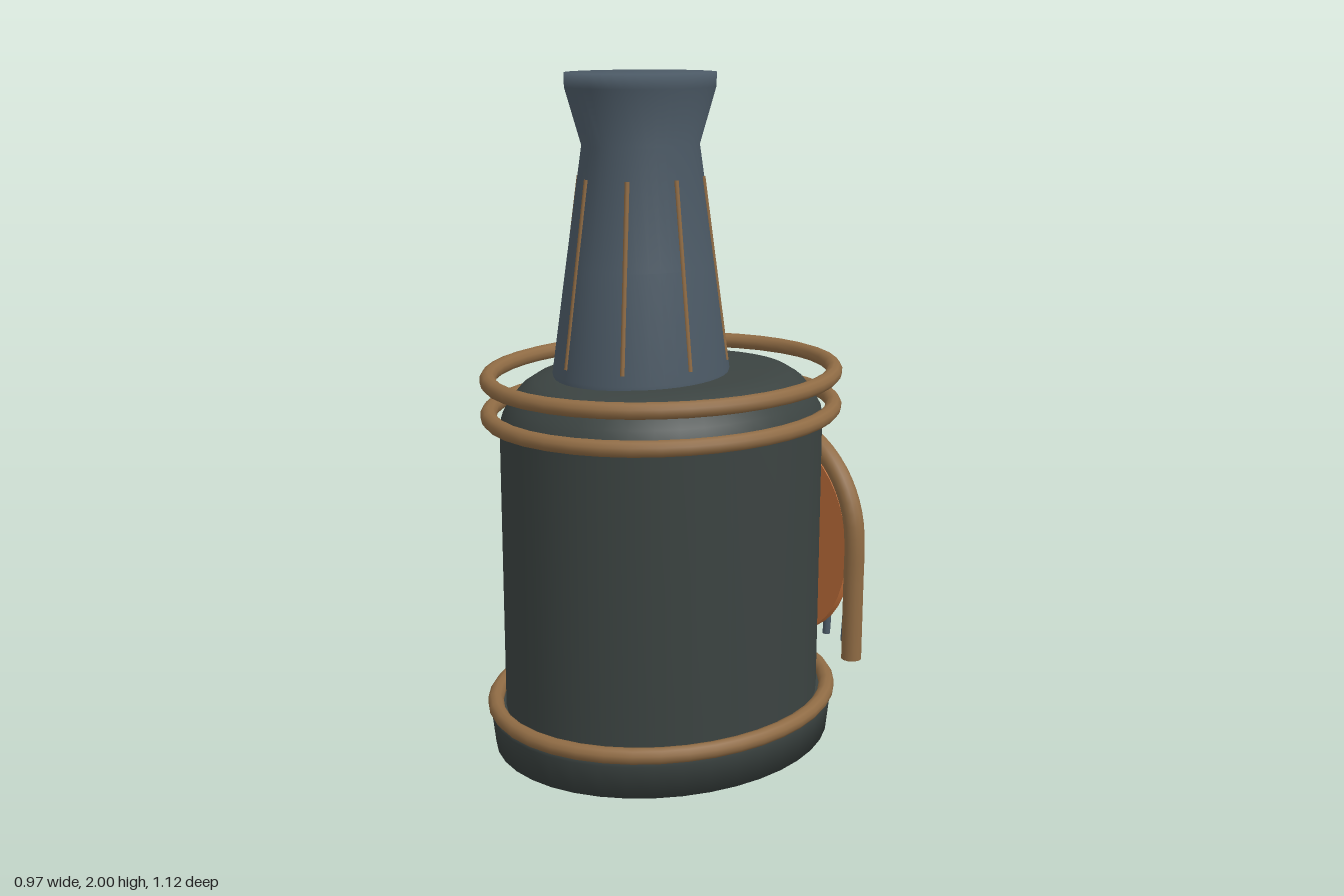
import * as THREE from 'three';
import { mergeGeometries } from 'three/addons/utils/BufferGeometryUtils.js';

const material = (color) => new THREE.MeshStandardMaterial({ color });
const v2 = (p) => new THREE.Vector2(p[0], p[1]);

export function createModel() {
  const model = new THREE.Group();
  const iron = material(0x3b4341);
  const steel = material(0x4c5a66);
  const brass = material(0x8f6b44);
  const ember = material(0xc4723c);

  const add = (name, geometry, mat, parent = model) => {
    const mesh = new THREE.Mesh(geometry, mat);
    mesh.name = name;
    parent.add(mesh);
    return mesh;
  };
  const group = (name) => {
    const g = new THREE.Group();
    g.name = name;
    model.add(g);
    return g;
  };

  // Turned profile stretched into an oval plan
  const oval = (profile, stretch, segments = 40) =>
    new THREE.LatheGeometry(profile.map(v2), segments).scale(1, 1, stretch);

  // Round rod along a curve, closed by a flat disc at each end
  const rod = (curve, segments, radius, sides) => {
    const caps = [0, 1].map((t) => {
      const dir = curve.getTangent(t).multiplyScalar(t ? 1 : -1);
      const turn = new THREE.Quaternion().setFromUnitVectors(new THREE.Vector3(0, 0, 1), dir);
      const at = curve.getPoint(t);
      return new THREE.CircleGeometry(radius, sides).applyQuaternion(turn).translate(at.x, at.y, at.z);
    });
    return mergeGeometries([new THREE.TubeGeometry(curve, segments, radius, sides), ...caps]);
  };

  // Oval plinth and boiler drum with a rounded shoulder
  add('base', oval([[0, 0], [0.466, 0], [0.476, 0.1], [0.474, 0.12], [0, 0.12]], 1.155), iron);
  add('drum', oval([
    [0.43, 0.1], [0.43, 0.99], [0.425, 1.02], [0.405, 1.06],
    [0.375, 1.1], [0.34, 1.125], [0.28, 1.14], [0, 1.15],
  ], 1.175), iron);

  // Chimney, set forward of the centre
  const stackZ = 0.08;
  const stackStretch = 1.14;
  add('chimney', oval([
    [0.225, 1.1], [0.237, 1.15], [0.198, 1.46], [0.154, 1.8],
    [0.196, 1.96], [0.197, 2], [0, 2],
  ], stackStretch), steel).position.z = stackZ;

  // Thin ribs lying on the chimney wall
  const ribs = group('chimneyRibs');
  for (let i = 0; i < 8; i++) {
    const a = (i * Math.PI) / 4;
    const onWall = (r, y) =>
      new THREE.Vector3(r * Math.sin(a), y, stackZ + r * stackStretch * Math.cos(a));
    const curve = new THREE.LineCurve3(onWall(0.231, 1.18), onWall(0.165, 1.71));
    add('rib', rod(curve, 1, 0.007, 8), brass, ribs);
  }

  // Hoops around the drum
  const hoopPoints = Array.from({ length: 32 }, (_, i) => {
    const a = (i / 32) * Math.PI * 2;
    return new THREE.Vector3(0.464 * Math.sin(a), 0, 0.537 * Math.cos(a));
  });
  const hoop = new THREE.TubeGeometry(new THREE.CatmullRomCurve3(hoopPoints, true), 40, 0.024, 10, true);
  const hoops = group('hoops');
  for (const y of [0.13, 1.025, 1.13]) add('hoop', hoop, brass, hoops).position.y = y;

  // Arched door frame on the back
  const door = group('fireDoor');
  const springY = 0.575;
  const archR = 0.312;
  const archPoints = [[-archR, 0.2], [-archR, 0.33], [-archR, 0.46]];
  for (let i = 0; i <= 12; i++) {
    const a = Math.PI * (1 - i / 12);
    archPoints.push([archR * Math.cos(a), springY + archR * Math.sin(a)]);
  }
  archPoints.push([archR, 0.46], [archR, 0.33], [archR, 0.2]);
  const arch = new THREE.CatmullRomCurve3(archPoints.map(([x, y]) => new THREE.Vector3(x, y, -0.502)));
  add('doorFrame', rod(arch, 48, 0.032, 12), brass, door);

  // Glowing oval plate behind the bars
  const plate = new THREE.CylinderGeometry(0.28, 0.28, 0.025, 40).rotateX(Math.PI / 2).scale(1, 1.14, 1);
  add('firePlate', plate, ember, door).position.set(0, 0.53, -0.51);

  // Slightly bowed grate bars whose tops follow the arch
  for (let i = -3; i <= 3; i++) {
    const x = i * 0.083;
    const top = springY + Math.sqrt(0.28 ** 2 - x ** 2);
    const bar = new THREE.QuadraticBezierCurve3(
      new THREE.Vector3(x, 0.23, -0.53),
      new THREE.Vector3(x, (0.23 + top) / 2, -0.55),
      new THREE.Vector3(x, top, -0.53),
    );
    add('grateBar', rod(bar, 10, 0.012, 8), steel, door);
  }

  return model;
}
